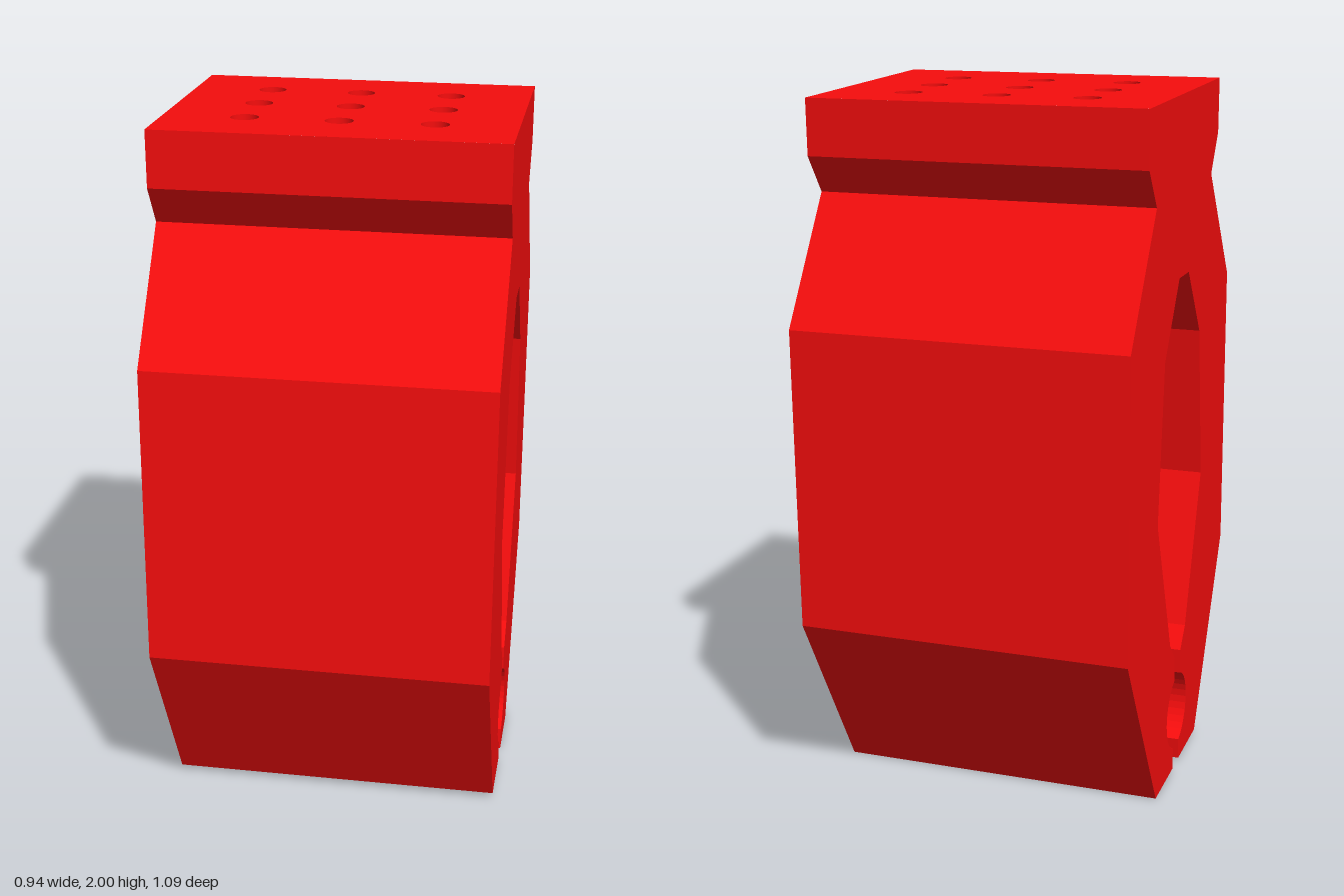
import * as THREE from 'three';

const WIDTH = 0.945;
const CHANNEL = { z: 0.02, y: 0.18, r: 0.112 };

// Half of the round channel between the jaws, from bottom to top; side is +1 or -1 in z
function channelArc(side) {
  const pts = [];
  for (let i = 0; i <= 14; i++) {
    const a = 0.29 + (Math.PI - 0.59) * i / 14;
    pts.push([CHANNEL.z + side * CHANNEL.r * Math.sin(a), CHANNEL.y - CHANNEL.r * Math.cos(a)]);
  }
  return pts;
}

// Side profile as (z, y)
function profile() {
  const pts = [
    // outside
    [0.253, 0.017], [0.546, 0.56], [0.526, 1.405], [0.28, 1.735], [0.353, 1.845], [0.353, 2],
    [-0.403, 1.98], [-0.398, 1.825], [-0.318, 1.72], [-0.545, 1.38], [-0.525, 0.53], [-0.203, 0],
    // back jaw, up into the hollow
    [-0.01, 0.006], ...channelArc(-1), [-0.015, 0.36], [-0.073, 0.42],
    // hollow
    [-0.243, 0.835], [-0.2, 1.285], [-0.063, 1.492], [0.04, 1.492], [0.185, 1.295], [0.25, 0.85],
    // front jaw, back down
    [0.1, 0.42], [0.05, 0.36], ...channelArc(1).reverse(), [0.057, 0.01],
  ];
  return new THREE.Shape(pts.map(([z, y]) => new THREE.Vector2(z, y)));
}

function bodyGeometry() {
  const geo = new THREE.ExtrudeGeometry(profile(), { depth: WIDTH, steps: 64, bevelEnabled: false });
  geo.translate(0, 0, -WIDTH / 2).rotateY(-Math.PI / 2);
  const pos = geo.attributes.position;

  // Round socket in the underside: push the jaw walls out to a vertical cylinder
  const R = 0.12;
  for (let i = 0; i < pos.count; i++) {
    const x = pos.getX(i), d = pos.getZ(i) - CHANNEL.z;
    if (pos.getY(i) > 0.185 || Math.abs(x) >= R) continue;
    const half = Math.sqrt(R * R - x * x);
    if (Math.abs(d) < half) pos.setZ(i, CHANNEL.z + Math.sign(d) * half);
  }

  // Leave the top open for the drilled plate
  const kept = [];
  for (let i = 0; i < pos.count; i += 3) {
    const corners = [i, i + 1, i + 2];
    if (corners.every(k => pos.getY(k) > 1.97)) continue;
    corners.forEach(k => kept.push(pos.getX(k), pos.getY(k), pos.getZ(k)));
  }
  const body = new THREE.BufferGeometry();
  body.setAttribute('position', new THREE.Float32BufferAttribute(kept, 3));
  body.computeVertexNormals();
  return body;
}

// Slightly tilted top face with a 3 x 3 grid of blind holes
function drilledTop(material) {
  const group = new THREE.Group();
  group.name = 'drilledTop';
  const r = 0.038, depth = 0.4, w = WIDTH / 2, h = 0.378;
  const plate = new THREE.Shape([[-w, -h], [w, -h], [w, h], [-w, h]].map(p => new THREE.Vector2(...p)));
  const holeMaterial = material.clone();
  holeMaterial.side = THREE.DoubleSide;
  const wallGeo = new THREE.CylinderGeometry(r, r, depth, 32, 1, true).translate(0, -depth / 2, 0);
  const floorGeo = new THREE.CircleGeometry(r, 32).rotateX(-Math.PI / 2).translate(0, -depth, 0);

  for (const x of [-0.253, 0, 0.253]) {
    for (const z of [-0.192, -0.004, 0.184]) {
      plate.holes.push(new THREE.Path().absarc(x, -z, r, 0, Math.PI * 2, true));
      const hole = new THREE.Group();
      hole.name = 'hole';
      hole.position.set(x, 0, z);
      hole.add(new THREE.Mesh(wallGeo, holeMaterial), new THREE.Mesh(floorGeo, material));
      hole.children[0].name = 'holeWall';
      hole.children[1].name = 'holeFloor';
      group.add(hole);
    }
  }
  const face = new THREE.Mesh(new THREE.ShapeGeometry(plate, 16).rotateX(-Math.PI / 2), material);
  face.name = 'topFace';
  group.add(face);
  group.position.set(0, 1.99, -0.025);
  group.rotation.x = -Math.atan2(0.02, 0.756);
  return group;
}

export function createModel() {
  const model = new THREE.Group();
  model.name = 'clamp';
  const material = new THREE.MeshStandardMaterial({ color: 0xf50d0d });
  const body = new THREE.Mesh(bodyGeometry(), material);
  body.name = 'clampBody';
  model.add(body, drilledTop(material));
  return model;
}
